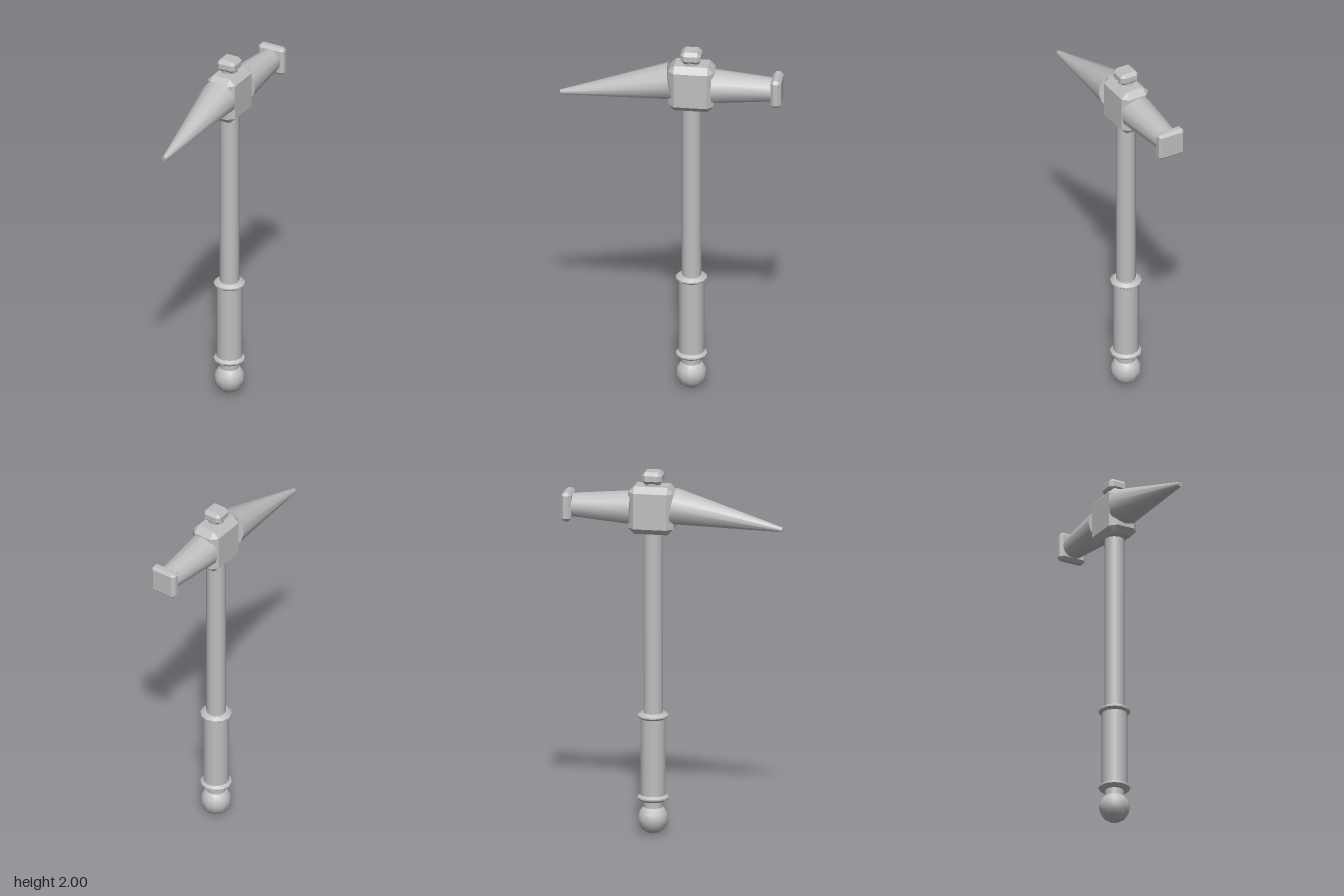
import * as THREE from 'three';
import { toCreasedNormals } from 'three/addons/utils/BufferGeometryUtils.js';
import { ConvexGeometry } from 'three/addons/geometries/ConvexGeometry.js';

const AXIS_Z = -0.108; // handle axis
const SIDES = 12;

// Box with every edge and corner cut flat; w, h, d are full sizes
function chamferedBox(w, h, d, c) {
  const points = [];
  for (const x of [-w / 2, w / 2]) for (const y of [-h / 2, h / 2]) for (const z of [-d / 2, d / 2]) {
    const inX = x - Math.sign(x) * c, inY = y - Math.sign(y) * c, inZ = z - Math.sign(z) * c;
    points.push(
      new THREE.Vector3(x, inY, inZ),
      new THREE.Vector3(inX, y, inZ),
      new THREE.Vector3(inX, inY, z),
    );
  }
  return new ConvexGeometry(points);
}

// Turned part from [radius, height] pairs, listed bottom to top
function turned(profile) {
  const points = profile.map(([r, y]) => new THREE.Vector2(r, y));
  return toCreasedNormals(new THREE.LatheGeometry(points, SIDES), 0.6);
}

// Tapered round bar between two points in the x = 0 plane
function taperedBar(from, to, r0, r1) {
  const dir = to.clone().sub(from);
  const geometry = new THREE.CylinderGeometry(r1, r0, dir.length(), SIDES);
  geometry.applyQuaternion(new THREE.Quaternion().setFromUnitVectors(
    new THREE.Vector3(0, 1, 0), dir.clone().normalize()));
  const mid = from.clone().add(to).multiplyScalar(0.5);
  return geometry.translate(mid.x, mid.y, mid.z);
}

export function createModel() {
  const model = new THREE.Group();
  model.name = 'warHammer';
  const steel = new THREE.MeshStandardMaterial({ color: 0xbfbfbf });
  steel.name = 'steel grey';

  const add = (name, geometry, x = 0, y = 0, z = 0) => {
    const mesh = new THREE.Mesh(geometry, steel);
    mesh.name = name;
    mesh.position.set(x, y, z);
    model.add(mesh);
    return mesh;
  };

  // Handle
  add('pommel', new THREE.SphereGeometry(0.083, SIDES, 8), 0, 0.083, AXIS_Z);
  add('pommelNeck', new THREE.CylinderGeometry(0.052, 0.052, 0.08, SIDES), 0, 0.155, AXIS_Z);
  add('grip', new THREE.CylinderGeometry(0.069, 0.069, 0.45, SIDES), 0, 0.425, AXIS_Z);
  add('shaft', new THREE.CylinderGeometry(0.053, 0.053, 1.06, SIDES), 0, 1.17, AXIS_Z);

  // Grip rings with a bevelled rim
  const ring = turned([
    [0.03, -0.018], [0.066, -0.018], [0.085, -0.004],
    [0.085, 0.004], [0.066, 0.018], [0.03, 0.018],
  ]);
  add('lowerRing', ring, 0, 0.199, AXIS_Z);
  add('upperRing', ring, 0, 0.65, AXIS_Z);

  // Head block and finial
  add('headBlock', chamferedBox(0.168, 0.262, 0.246, 0.033), 0, 1.791, -0.111);
  add('finialNeck', new THREE.CylinderGeometry(0.043, 0.043, 0.04, SIDES), 0, 1.925, AXIS_Z);
  add('finial', chamferedBox(0.11, 0.068, 0.11, 0.019), 0, 1.966, AXIS_Z);

  // Front spike, drooping toward its tip
  add('spike', taperedBar(
    new THREE.Vector3(0, 1.811, 0.003), new THREE.Vector3(0, 1.707, 0.597), 0.102, 0.013));

  // Rear hammer arm and striking face
  add('hammerArm', taperedBar(
    new THREE.Vector3(0, 1.793, -0.223), new THREE.Vector3(0, 1.793, -0.555), 0.094, 0.064));
  add('strikingFace', chamferedBox(0.156, 0.158, 0.056, 0.016), 0, 1.793, -0.57);

  return model;
}
